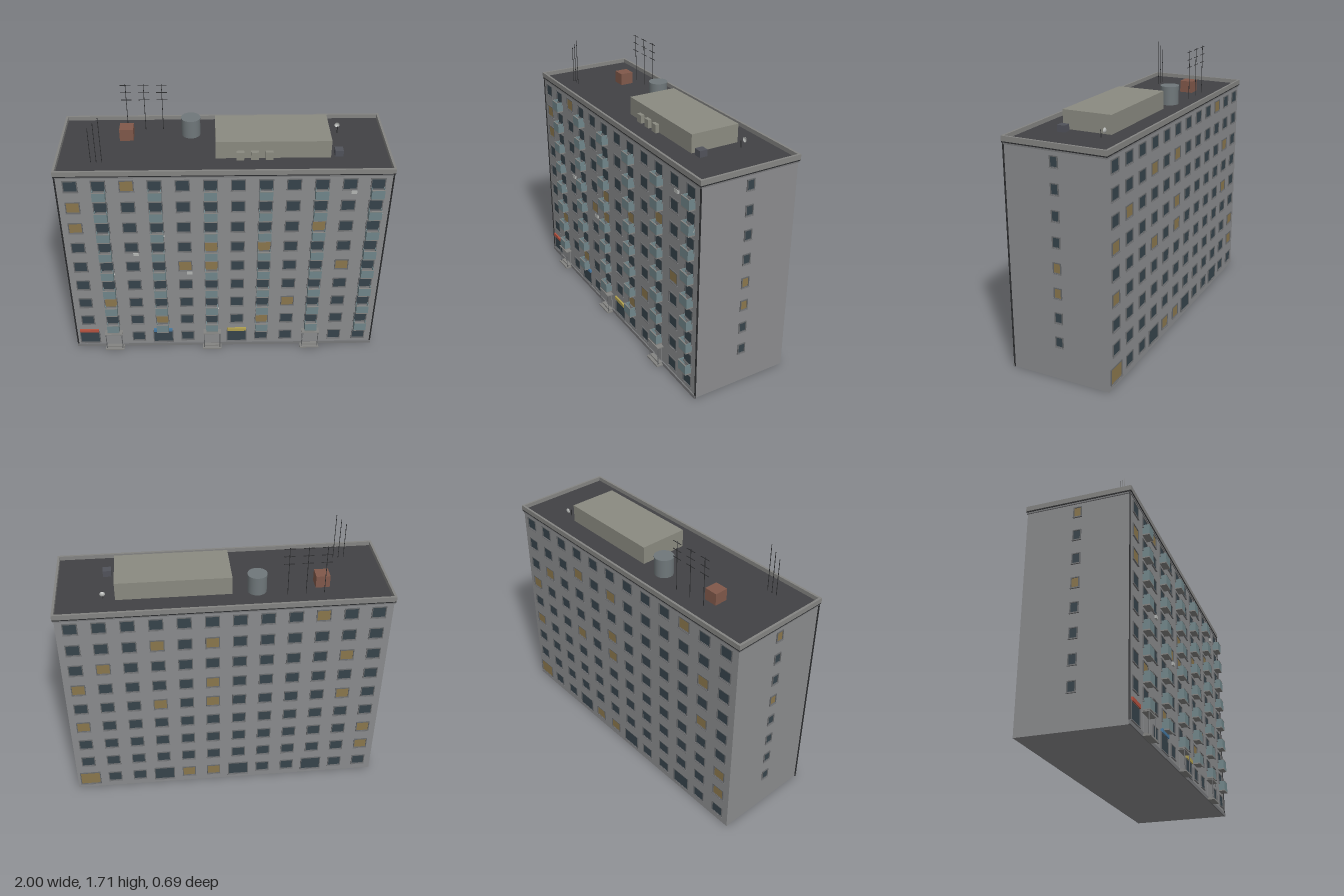
import * as THREE from 'three';

const mat = (color, side = THREE.FrontSide) => new THREE.MeshStandardMaterial({ color, side });
const M = {
  wall: mat(0x8a8b8d), trim: mat(0x77787a), dark: mat(0x2c2d2f), roof: mat(0x414144),
  frame: mat(0x66686a), glass: mat(0x36434b), lit: mat(0x8a764c), balcony: mat(0x70868a),
  slab: mat(0x848482), penthouse: mat(0x8a8a80), tank: mat(0x6f777a), brick: mat(0x80584a),
  unit: mat(0xb4b6b4), vent: mat(0x50525a), red: mat(0xb5523f), blue: mat(0x4678a0), yellow: mat(0xb0a050),
};
const FRONT = 0.297, BACK = -0.337, SIDE = 0.99, MIDZ = -0.02, ROOF = 1.39;
const colX = i => -0.905 + i * 0.1645;   // window columns, 12
const rowY = r => 1.318 - r * 0.1538;    // storeys from the top, 9

function add(parent, name, geometry, material, x = 0, y = 0, z = 0) {
  const mesh = new THREE.Mesh(geometry, material);
  mesh.name = name;
  mesh.position.set(x, y, z);
  parent.add(mesh);
  return mesh;
}
const box = (p, name, m, w, h, d, x, y, z) => add(p, name, new THREE.BoxGeometry(w, h, d), m, x, y, z);
const rod = (p, name, m, r, h, x, y, z, n = 6) => add(p, name, new THREE.CylinderGeometry(r, r, h, n), m, x, y + h / 2, z);
function group(parent, name) {
  const g = new THREE.Group();
  g.name = name;
  parent.add(g);
  return g;
}

// Rectangular ring extruded by depth, used for window frames and the roof edge
function ring(w, h, t, depth) {
  const rect = (C, a, b) => new C([[-a, -b], [a, -b], [a, b], [-a, b]].map(p => new THREE.Vector2(...p)));
  const shape = rect(THREE.Shape, w / 2, h / 2);
  shape.holes.push(rect(THREE.Path, w / 2 - t, h / 2 - t));
  return new THREE.ExtrudeGeometry(shape, { depth, bevelEnabled: false });
}

// Window facing +z at its own origin: glass, frame and sill
const sharedFrames = {};
function makeWindow(parent, w, h, isLit) {
  const g = group(parent, 'window');
  const frame = sharedFrames[w + ',' + h] ??= ring(w + 0.01, h + 0.01, 0.006, 0.006);
  box(g, 'glass', isLit ? M.lit : M.glass, w, h, 0.004, 0, 0, 0);
  add(g, 'frame', frame, M.frame);
  box(g, 'sill', M.trim, w + 0.014, 0.005, 0.009, 0, -h / 2 - 0.005, 0.0045);
  return g;
}

// Long facade of windows; shop windows on every third ground-floor column
function makeFacade(parent, name, litList, skip) {
  const g = group(parent, name);
  for (let r = 0; r < 9; r++) {
    for (let i = 0; i < 12; i++) {
      if (r === 8 && skip.includes(i)) continue;
      const shop = r === 8 && i % 3 === 0;
      const win = makeWindow(g, shop ? 0.125 : 0.078, shop ? 0.095 : 0.07, litList.includes(r * 12 + i));
      win.position.set(colX(i), shop ? 0.083 : rowY(r), 0);
    }
  }
  return g;
}

// Open balcony: floor slab with front and side panels
function makeBalcony(parent, x, y) {
  const g = group(parent, 'balcony');
  g.position.set(x, y, FRONT);
  box(g, 'balconyFloor', M.slab, 0.078, 0.008, 0.042, 0, 0.004, 0.021);
  box(g, 'balconyFront', M.balcony, 0.078, 0.062, 0.004, 0, 0.038, 0.04);
  for (const s of [-1, 1]) box(g, 'balconySide', M.balcony, 0.004, 0.062, 0.039, s * 0.037, 0.038, 0.0195);
  box(g, 'balconyRail', M.slab, 0.08, 0.003, 0.007, 0, 0.069, 0.04);
}

// Entrance: two steps, door, posts and canopy
function makeEntrance(parent, x) {
  const g = group(parent, 'entrance');
  g.position.set(x, 0, FRONT);
  box(g, 'lowerStep', M.slab, 0.125, 0.01, 0.049, 0, 0.005, 0.0245);
  box(g, 'upperStep', M.slab, 0.105, 0.01, 0.03, 0, 0.015, 0.015);
  box(g, 'door', M.wall, 0.08, 0.105, 0.004, 0, 0.072, 0.002);
  box(g, 'canopy', M.slab, 0.118, 0.007, 0.043, 0, 0.137, 0.0215);
  for (const s of [-1, 1]) rod(g, 'canopyPost', M.frame, 0.003, 0.126, s * 0.053, 0.01, 0.038);
}

function makeDish(parent, r, x, y, z) {
  const dish = add(parent, 'satelliteDish', new THREE.SphereGeometry(r, 12, 4, 0, Math.PI * 2, 0, 1), mat(0xb4b6b4, THREE.DoubleSide), x, y, z);
  dish.rotation.x = -Math.PI / 2;
}

export function createModel() {
  const model = new THREE.Group();
  model.name = 'apartmentBlock';

  // Body, plinth and corner downpipes
  box(model, 'walls', M.wall, SIDE * 2, ROOF, FRONT - BACK, 0, ROOF / 2, MIDZ);
  box(model, 'frontPlinth', M.trim, 1.994, 0.022, 0.008, 0, 0.011, FRONT + 0.004);
  for (const s of [-1, 1]) rod(model, 'downpipe', M.dark, 0.005, ROOF, s * 0.992, 0, FRONT + 0.001, 8);

  // Cornice, parapet and roof deck
  box(model, 'lowerCornice', M.trim, 1.992, 0.01, 0.643, 0, 1.38, MIDZ);
  box(model, 'corniceShadow', M.dark, 1.998, 0.008, 0.649, 0, 1.389, MIDZ);
  const parapet = add(model, 'parapet', ring(2, 0.651, 0.014, 0.031), M.slab, 0, 1.392, MIDZ);
  parapet.rotation.x = -Math.PI / 2;
  box(model, 'roofDeck', M.roof, 1.98, 0.006, 0.63, 0, 1.394, MIDZ);

  // Front and back windows; lit ones numbered row * 12 + column
  const entrances = [1, 5, 9];
  const front = makeFacade(model, 'frontWindows', [2, 12, 24, 33, 41, 43, 52, 53, 58, 73, 80, 87, 91], entrances);
  front.position.z = FRONT;
  const back = makeFacade(model, 'backWindows', [9, 15, 17, 25, 34, 36, 41, 51, 53, 58, 60, 83, 95, 96, 100, 101], []);
  back.position.z = BACK;
  back.rotation.y = Math.PI;

  // Narrow windows on both ends
  for (const [s, lit] of [[1, [4, 5]], [-1, [0, 3]]]) {
    for (let r = 0; r < 8; r++) {
      const win = makeWindow(model, 0.042, 0.058, lit.includes(r));
      win.position.set(s * SIDE, rowY(r), MIDZ);
      win.rotation.y = s * Math.PI / 2;
    }
  }

  // Balconies on every second column above the ground floor
  for (let i = 1; i < 12; i += 2)
    for (let r = 0; r < 8; r++) makeBalcony(model, colX(i), rowY(r) - 0.092);

  entrances.forEach(i => makeEntrance(model, colX(i)));

  // Shop awnings
  [[0, M.red], [3, M.blue], [6, M.yellow]].forEach(([i, m]) => {
    box(model, 'awning', m, 0.125, 0.022, 0.012, colX(i), 0.143, FRONT + 0.006);
  });

  // Air conditioners and small dishes on the front
  for (const [x, y] of [[0.767, 1.265], [-0.55, 0.805], [-0.22, 0.65]])
    box(model, 'airConditioner', M.unit, 0.034, 0.022, 0.012, x, y, FRONT + 0.006);
  for (const [x, y] of [[0.945, 1.11], [-0.375, 0.955], [-0.703, 0.65], [-0.045, 0.345]])
    makeDish(model, 0.014, x, y, FRONT + 0.02);

  // Rooftop plant room with units along its front
  box(model, 'plantRoom', M.penthouse, 0.69, 0.116, 0.312, 0.295, 1.452, -0.025);
  for (const x of [0.097, 0.184, 0.271])
    box(model, 'roofUnit', M.penthouse, 0.046, 0.054, 0.026, x, 1.422, 0.142);

  // Water tank, brick chimney, vent and roof dish
  rod(model, 'waterTank', M.tank, 0.058, 0.115, -0.2, 1.395, -0.155, 24);
  rod(model, 'tankLid', M.tank, 0.06, 0.006, -0.2, 1.509, -0.155, 24);
  box(model, 'chimney', M.brick, 0.085, 0.078, 0.085, -0.595, 1.434, -0.12);
  box(model, 'roofVent', M.vent, 0.05, 0.042, 0.05, 0.69, 1.416, 0.1);
  rod(model, 'dishPost', M.dark, 0.003, 0.045, 0.712, 1.395, -0.152);
  makeDish(model, 0.02, 0.712, 1.44, -0.165);

  // Antennas with crossbars, then plain masts
  for (const x of [-0.595, -0.485, -0.375]) {
    rod(model, 'antennaMast', M.dark, 0.002, 0.318, x, 1.395, -0.215);
    for (const y of [1.605, 1.655, 1.705]) box(model, 'antennaBar', M.dark, 0.066, 0.003, 0.003, x, y, -0.215);
  }
  for (let k = 0; k < 3; k++)
    rod(model, 'mast', M.dark, 0.002, 0.237 + k * 0.033, -0.79 + k * 0.033, 1.395, 0.165);

  return model;
}
